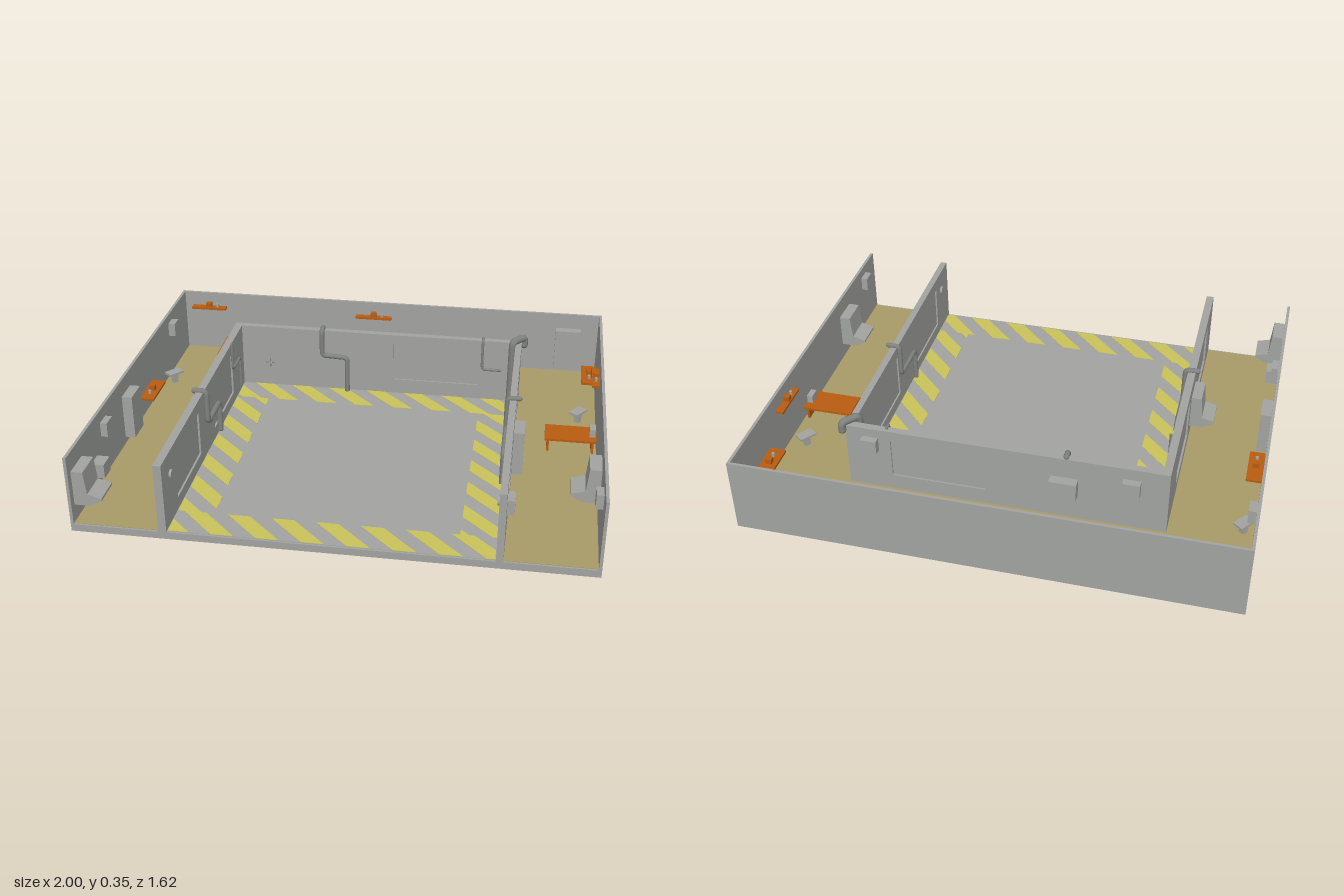
import * as THREE from 'three';

const mat = (name, color, side = THREE.FrontSide) => {
  const m = new THREE.MeshStandardMaterial({ color, side });
  m.name = name;
  return m;
};

export function createModel() {
  const root = new THREE.Group();
  root.name = 'workshopRoom';
  const grey = mat('wallGrey', 0xa2a4a0);
  const tan = mat('floorTan', 0xa99b68);
  const yellow = mat('hazardYellow', 0xc9c35a);
  const orange = mat('deskOrange', 0xb85c10);
  const pipeGrey = mat('pipeGrey', 0x80827f);

  const add = (name, geo, m, parent = root) => {
    const mesh = new THREE.Mesh(geo, m);
    mesh.name = name;
    parent.add(mesh);
    return mesh;
  };
  // Box given by its extents on each axis
  const box = (name, m, x0, x1, y0, y1, z0, z1, parent) => {
    const mesh = add(name, new THREE.BoxGeometry(x1 - x0, y1 - y0, z1 - z0), m, parent);
    mesh.position.set((x0 + x1) / 2, (y0 + y1) / 2, (z0 + z1) / 2);
    return mesh;
  };
  const H = 0.32, F = 0.032;

  // Outer shell, open at the front with a low lip
  for (const s of [-1, 1]) {
    const x = s * 0.994;
    box('outerSideWall', grey, x - 0.006, x + 0.006, 0, H, -0.81, 0.81);
  }
  box('outerBackWall', grey, -0.988, 0.988, 0, H, -0.81, -0.798);
  box('frontLip', grey, -0.988, 0.988, 0, 0.03, 0.802, 0.81);

  // Floors are thin sheets above the recessed underside
  box('corridorFloorRight', tan, -0.988, -0.655, F - 0.002, F, -0.798, 0.802);
  box('corridorFloorLeft', tan, 0.645, 0.988, F - 0.002, F, -0.798, 0.802);
  box('corridorFloorBack', tan, -0.655, 0.645, F - 0.002, F, -0.798, -0.48);
  box('bayFloor', grey, -0.625, 0.618, F - 0.002, F, -0.45, 0.802);

  // Diagonal hazard stripes, clipped to each border strip of the bay
  const clip = (pts, limit, sign) => {
    const out = [];
    const d = p => sign * (p[0] - p[1] - limit);
    pts.forEach((p, i) => {
      const q = pts[(i + 1) % pts.length], a = d(p), b = d(q);
      if (a >= 0) out.push(p);
      if (a * b < 0) {
        const t = a / (a - b);
        out.push([p[0] + (q[0] - p[0]) * t, p[1] + (q[1] - p[1]) * t]);
      }
    });
    return out;
  };
  const stripes = new THREE.Group();
  stripes.name = 'hazardStripes';
  root.add(stripes);
  const border = (x0, x1, z0, z1, phase) => {
    for (let k = -12; k <= 12; k++) {
      const u = phase + k * 0.173;
      let pts = [[x0, z0], [x1, z0], [x1, z1], [x0, z1]];
      pts = clip(clip(pts, u, 1), u + 0.088, -1);
      if (pts.length < 3) continue;
      const shape = new THREE.Shape(pts.map(p => new THREE.Vector2(p[0], -p[1])));
      const geo = new THREE.ExtrudeGeometry(shape, { depth: 0.005, bevelEnabled: false });
      geo.rotateX(-Math.PI / 2).translate(0, F - 0.0035, 0);
      add('hazardStripe', geo, yellow, stripes);
    }
  };
  border(-0.62, 0.615, 0.66, 0.8, 0.129);
  border(-0.62, 0.615, -0.449, -0.305, 0.052);
  border(-0.62, -0.475, -0.305, 0.66, 0.109);
  border(0.475, 0.615, -0.305, 0.66, 0.109);

  // Partition running along local x, with recessed window panels
  const partition = (name, a, b, thick, windows) => {
    const g = new THREE.Group();
    g.name = name;
    const rect = (S, x0, x1, y0, y1) => new S([[x0, y0], [x1, y0], [x1, y1], [x0, y1]]
      .map(p => new THREE.Vector2(...p)));
    const s = rect(THREE.Shape, a, b, 0, H);
    for (const [x0, x1, y0, y1] of windows) {
      s.holes.push(rect(THREE.Path, x0, x1, y0, y1));
      box('windowPanel', grey, x0, x1, y0, y1, thick * 0.25, thick * 0.75, g);
    }
    add('partitionWall', new THREE.ExtrudeGeometry(s, { depth: thick, bevelEnabled: false }), grey, g);
    root.add(g);
    return g;
  };
  partition('backPartition', -0.655, 0.645, 0.03, [[0.075, 0.46, 0.1, 0.275]]).position.z = -0.48;
  const sideWindows = [[-0.64, -0.3, 0.08, 0.27], [-0.08, 0.25, 0.08, 0.27]];
  for (const [name, x, t] of [['rightPartition', -0.655, 0.032], ['leftPartition', 0.618, 0.027]]) {
    const g = partition(name, -0.81, 0.45, t, sideWindows);
    g.rotation.y = Math.PI / 2;
    g.position.x = x;
  }

  // Desks: slab top on two end panels, with a small terminal
  const desk = (x0, x1, z0, z1) => {
    const g = new THREE.Group();
    g.name = 'desk';
    root.add(g);
    box('deskTop', orange, x0, x1, 0.085, 0.095, z0, z1, g);
    if (x1 - x0 > z1 - z0) {
      for (const x of [x0 + 0.01, x1 - 0.02]) box('deskLeg', orange, x, x + 0.01, F, 0.085, z0 + 0.01, z1 - 0.01, g);
      box('deskTerminal', grey, x1 - 0.03, x1 - 0.005, 0.095, 0.13, (z0 + z1) / 2 - 0.025, (z0 + z1) / 2 + 0.025, g);
    } else {
      for (const z of [z0 + 0.01, z1 - 0.02]) box('deskLeg', orange, x0 + 0.01, x1 - 0.01, F, 0.085, z, z + 0.01, g);
      box('deskTerminal', grey, (x0 + x1) / 2 - 0.025, (x0 + x1) / 2 + 0.025, 0.095, 0.13, z0 + 0.005, z0 + 0.03, g);
    }
  };
  desk(-0.79, -0.665, -0.798, -0.6);
  desk(0.125, 0.255, -0.798, -0.6);
  desk(0.77, 0.985, -0.14, -0.015);

  // Wall shelves with small objects on them
  for (const [x0, x1, y, z0, z1] of [
    [-0.95, -0.785, 0.25, -0.798, -0.765], [-0.54, -0.36, 0.13, -0.798, -0.735],
    [-0.15, 0.02, 0.25, -0.798, -0.77], [0.92, 0.988, 0.13, -0.65, -0.475],
    [0.955, 0.988, 0.25, -0.385, -0.215], [-0.988, -0.925, 0.13, -0.21, -0.03]]) {
    box('shelf', orange, x0, x1, y - 0.005, y + 0.005, z0, z1);
    const cx = (x0 + x1) / 2, cz = (z0 + z1) / 2;
    box('shelfBox', orange, cx - 0.013, cx + 0.013, y + 0.005, y + 0.026, cz - 0.012, cz + 0.012);
    const along = x1 - x0 > z1 - z0;
    const cup = add('shelfCup', new THREE.CylinderGeometry(0.007, 0.007, 0.016, 10), grey);
    cup.position.set(cx + (along ? 0.04 : 0), y + 0.013, cz + (along ? 0 : 0.04));
  }

  // Wall consoles: tall back, sloping keyboard ledge; dir points away from the wall
  const console_ = (x, z, dir, depth) => {
    const g = new THREE.Group();
    g.name = 'console';
    const prof = [[0, 0.1], [depth * 0.55, 0.1], [depth, 0.125], [depth, 0.135],
      [depth * 0.5, 0.15], [depth * 0.42, 0.245], [0, 0.245]];
    const s = new THREE.Shape(prof.map(p => new THREE.Vector2(...p)));
    const geo = new THREE.ExtrudeGeometry(s, { depth: 0.12, bevelEnabled: false });
    add('consoleBody', geo.translate(0, 0, -0.06), grey, g);
    g.position.set(x, 0, z);
    g.rotation.y = dir < 0 ? Math.PI : 0;
    root.add(g);
  };
  console_(-0.988, 0.72, 1, 0.11);
  console_(0.988, 0.41, -1, 0.11);
  console_(-0.655, 0.185, -1, 0.1);

  // Cabinets and junction boxes on the walls
  for (const [x0, x1, y0, y1, z0, z1] of [
    [-0.988, -0.945, 0.06, 0.25, 0.07, 0.18], [0.645, 0.688, 0.05, 0.24, 0.11, 0.22],
    [0.795, 0.91, 0.06, 0.25, -0.798, -0.76], [-0.988, -0.957, 0.22, 0.28, -0.56, -0.5],
    [-0.988, -0.96, 0.21, 0.27, 0.38, 0.445], [-0.988, -0.937, 0.1, 0.16, 0.51, 0.58],
    [0.96, 0.988, 0.22, 0.28, 0.64, 0.7], [0.645, 0.673, 0.19, 0.25, 0.67, 0.74],
    [-0.545, -0.475, 0.2, 0.27, -0.51, -0.48], [-0.3, -0.19, 0.15, 0.23, -0.52, -0.48],
    [0.51, 0.575, 0.22, 0.28, -0.51, -0.48]]) {
    box('wallBox', grey, x0, x1, y0, y1, z0, z1);
  }

  // Stools set at an angle
  for (const [x, z, r] of [[-0.945, -0.405, 0.9], [0.495, -0.76, -0.35], [0.91, -0.3, 0.95]]) {
    const g = new THREE.Group();
    g.name = 'stool';
    box('stoolSeat', grey, -0.037, 0.037, 0.075, 0.085, -0.023, 0.023, g);
    box('stoolBase', grey, -0.012, 0.012, F, 0.075, -0.012, 0.012, g);
    g.position.set(x, 0, z);
    g.rotation.y = r;
    root.add(g);
  }

  // Pipes with rounded elbows
  const pipe = (name, r, pts) => {
    const v = pts.map(p => new THREE.Vector3(...p));
    const path = new THREE.CurvePath();
    let from = v[0];
    for (let i = 1; i < v.length - 1; i++) {
      const toward = (q) => v[i].clone().add(q.clone().sub(v[i]).setLength(Math.min(0.02, v[i].distanceTo(q) * 0.45)));
      const a = toward(v[i - 1]), b = toward(v[i + 1]);
      path.add(new THREE.LineCurve3(from, a));
      path.add(new THREE.QuadraticBezierCurve3(a, v[i], b));
      from = b;
    }
    path.add(new THREE.LineCurve3(from, v[v.length - 1]));
    add(name, new THREE.TubeGeometry(path, 60, r, 10), pipeGrey);
    for (const p of [v[0], v[v.length - 1]]) {
      add('pipeFlange', new THREE.SphereGeometry(r * 1.05, 10, 6), pipeGrey).position.copy(p);
    }
  };
  pipe('backPipe', 0.011, [[-0.25, 0.327, -0.47], [-0.25, 0.327, -0.435], [-0.25, 0.205, -0.435], [-0.135, 0.2, -0.435], [-0.135, 0.035, -0.435]]);
  pipe('thinBackPipe', 0.006, [[0.475, 0.327, -0.465], [0.475, 0.327, -0.44], [0.475, 0.185, -0.44], [0.555, 0.185, -0.44]]);
  pipe('cornerPipe', 0.016, [[0.605, F, -0.425], [0.605, 0.335, -0.425], [0.655, 0.335, -0.485], [0.655, 0.3, -0.485]]);
  pipe('rightWallPipe', 0.012, [[-0.662, 0.323, 0.21], [-0.612, 0.323, 0.21], [-0.612, 0.18, 0.21], [-0.612, 0.18, 0.03], [-0.612, 0.05, 0.03]]);
  pipe('leftWallPipe', 0.01, [[0.658, 0.325, 0.085], [0.608, 0.325, 0.085], [0.608, 0.18, 0.085], [0.608, 0.18, 0.27], [0.608, 0.04, 0.27]]);
  pipe('thinRightPipe', 0.006, [[-0.618, 0.325, -0.24], [-0.618, 0.2, -0.24], [-0.618, 0.2, -0.37], [-0.618, 0.06, -0.37]]);

  // Round wall buttons near the bay entrance
  for (const x of [-0.62, 0.615]) {
    const b = add('wallButton', new THREE.CylinderGeometry(0.018, 0.018, 0.012, 16), grey);
    b.rotation.z = Math.PI / 2;
    b.position.set(x, 0.23, 0.71);
  }

  // Four-spoke valve on the back partition
  for (let i = 0; i < 4; i++) {
    const a = i * Math.PI / 2;
    const spoke = add('valveSpoke', new THREE.BoxGeometry(0.014, 0.004, 0.006), pipeGrey);
    spoke.position.set(-0.495 + Math.cos(a) * 0.014, 0.145 + Math.sin(a) * 0.014, -0.448);
    spoke.rotation.z = a;
  }
  return root;
}
